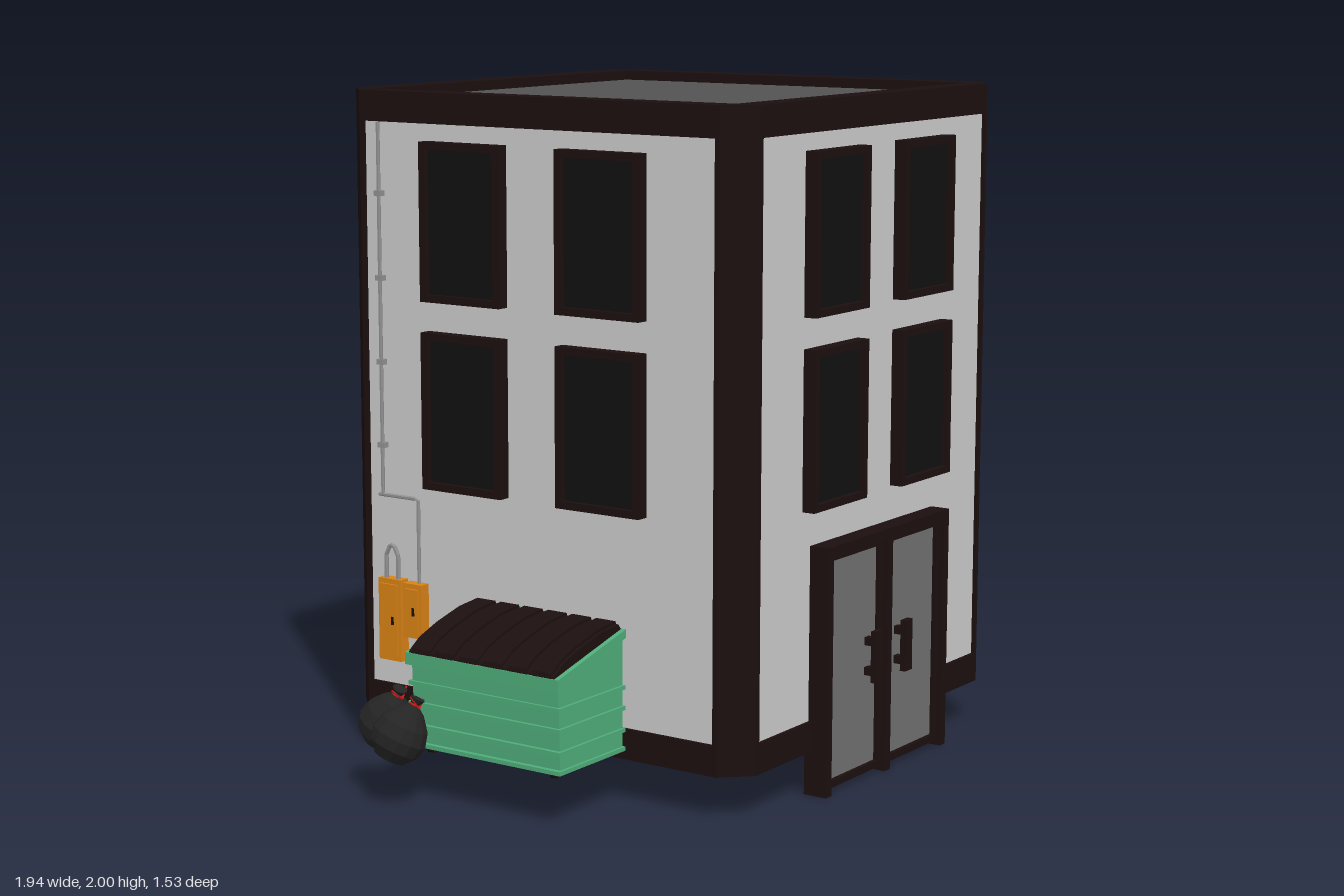
import * as THREE from 'three';

const mat = (color, flat = true) => new THREE.MeshStandardMaterial({ color, flatShading: flat });
const DARK = mat(0x1c0f0f), WALL = mat(0xcccccc), GLASS = mat(0x101010), ROOF = mat(0x525252);
const PANEL = mat(0x707070), GREEN = mat(0x4fad7a), ORANGE = mat(0xd98214), STEEL = mat(0x909090);
const BAG = mat(0x242424), RED = mat(0xc01818);

function add(parent, name, geo, material) {
  const m = new THREE.Mesh(geo, material);
  m.name = name;
  parent.add(m);
  return m;
}

// Box given by its minimum and maximum corners
function box(parent, name, material, [x0, y0, z0], [x1, y1, z1]) {
  const g = new THREE.BoxGeometry(x1 - x0, y1 - y0, z1 - z0);
  g.translate((x0 + x1) / 2, (y0 + y1) / 2, (z0 + z1) / 2);
  return add(parent, name, g, material);
}

const shapeOf = pts => new THREE.Shape(pts.map(p => new THREE.Vector2(...p)));

// Plan outline (x, z) raised from y0 to y1
function plan(shape, y0, y1) {
  const g = new THREE.ExtrudeGeometry(shape, { depth: y1 - y0, bevelEnabled: false });
  return g.rotateX(Math.PI / 2).translate(0, y1, 0);
}

// Side outline (x, y) run from z0 to z1
function side(pts, z0, z1) {
  return new THREE.ExtrudeGeometry(shapeOf(pts), { depth: z1 - z0, bevelEnabled: false }).translate(0, 0, z0);
}

// Rectangular frame in the xy plane, rail width w
function frame(x0, x1, y0, y1, w, z0, z1) {
  const s = shapeOf([[x0, y0], [x1, y0], [x1, y1], [x0, y1]]);
  s.holes.push(shapeOf([[x0 + w, y0 + w], [x0 + w, y1 - w], [x1 - w, y1 - w], [x1 - w, y0 + w]]));
  return new THREE.ExtrudeGeometry(s, { depth: z1 - z0, bevelEnabled: false }).translate(0, 0, z0);
}

function octagon(h, c) {
  const k = h - c;
  return [[-k, -h], [k, -h], [h, -k], [h, k], [k, h], [-k, h], [-h, k], [-h, -k]];
}

function building() {
  const g = new THREE.Group();
  g.name = 'building';
  g.position.set(0.225, 0, -0.022);
  const H = 0.715, C = 0.08, P = H - 0.095;
  add(g, 'walls', plan(shapeOf(octagon(H - 0.01, C)), 0.2, 1.94), WALL);
  add(g, 'baseBand', plan(shapeOf(octagon(H, C)), 0.13, 0.22), DARK);
  const ring = shapeOf(octagon(H, C)), r = H - 0.08;
  ring.holes.push(shapeOf([[-r, -r], [-r, r], [r, r], [r, -r]]));
  add(g, 'parapet', plan(ring, 1.91, 2), DARK);
  box(g, 'roof', ROOF, [-r, 1.93, -r], [r, 1.97, r]);

  // One corner post and four windows per side
  for (let k = 0; k < 4; k++) {
    const wall = new THREE.Group();
    wall.name = 'facade';
    wall.rotation.y = k * Math.PI / 2;
    g.add(wall);
    const post = [[P, P], [H, P], [H, H - C], [H - C, H], [P, H]];
    add(wall, 'cornerPost', plan(shapeOf(post), 0.2, 1.93), DARK);
    for (const x of [-0.244, 0.244]) for (const y of [0.84, 1.395]) {
      add(wall, 'windowFrame', frame(x - 0.145, x + 0.145, y, y + 0.465, 0.022, 0.69, 0.745), DARK);
      box(wall, 'windowGlass', GLASS, [x - 0.13, y + 0.015, 0.69], [x + 0.13, y + 0.45, 0.728]);
    }
  }
  return g;
}

function doors() {
  const g = new THREE.Group();
  g.name = 'doubleDoor';
  g.position.x = 0.227;
  box(g, 'doorHead', DARK, [-0.347, 0.705, 0.67], [0.347, 0.735, 0.745]);
  box(g, 'centrePost', DARK, [-0.015, 0, 0.67], [0.015, 0.71, 0.745]);
  for (const s of [-1, 1]) {
    const a = Math.min(s * 0.015, s * 0.32), b = Math.max(s * 0.015, s * 0.32);
    box(g, 'doorJamb', DARK, [s * 0.332 - 0.015, 0, 0.67], [s * 0.332 + 0.015, 0.71, 0.745]);
    add(g, 'doorLeafFrame', frame(a, b, 0.015, 0.71, 0.022, 0.685, 0.73), DARK);
    box(g, 'doorPanel', PANEL, [a + 0.015, 0.03, 0.695], [b - 0.015, 0.7, 0.718]);
    const x = s * 0.085;
    box(g, 'doorHandle', DARK, [x - 0.02, 0.29, 0.745], [x + 0.02, 0.445, 0.763]);
    for (const y of [0.32, 0.41]) box(g, 'handleMount', DARK, [x - 0.012, y - 0.012, 0.71], [x + 0.012, y + 0.012, 0.75]);
  }
  return g;
}

function dumpster() {
  const g = new THREE.Group();
  g.name = 'dumpster';
  add(g, 'bin', side([[-0.795, 0.165], [-0.5, 0.165], [-0.5, 0.5], [-0.805, 0.415]], -0.222, 0.298), GREEN);
  add(g, 'rim', side([[-0.82, 0.4], [-0.5, 0.49], [-0.5, 0.515], [-0.82, 0.435]], -0.235, 0.31), GREEN);
  for (const y of [0.165, 0.22, 0.285, 0.345])
    box(g, 'binRib', GREEN, [-0.81, y - 0.006, -0.232], [-0.498, y + 0.006, 0.307]);
  box(g, 'hingeBar', GREEN, [-0.51, 0.49, -0.12], [-0.488, 0.525, 0.07]);

  // Domed lid with raised slats
  const lid = t => [[-0.82, 0.43], [-0.5, 0.51], [-0.515, 0.53 + t], [-0.6, 0.522 + t], [-0.7, 0.497 + t], [-0.77, 0.472 + t], [-0.815, 0.442 + t]];
  add(g, 'lid', side(lid(0), -0.222, 0.295), DARK);
  for (let i = 0; i < 6; i++) {
    const z = -0.212 + i * 0.086;
    add(g, 'lidSlat', side(lid(0.008), z, z + 0.066), DARK);
  }
  for (const x of [-0.77, -0.54]) for (const z of [-0.18, 0.26]) {
    const c = add(g, 'caster', new THREE.CylinderGeometry(0.014, 0.014, 0.016, 10), DARK);
    c.rotation.x = Math.PI / 2;
    c.position.set(x, 0.15, z);
  }
  return g;
}

// Lumpy sack leaning along (dx, dz), knotted with a tie
function trashBag(x, z, dx, dz) {
  const g = new THREE.Group();
  g.name = 'trashBag';
  g.position.set(x, 0.21, z);
  g.quaternion.setFromUnitVectors(new THREE.Vector3(0, 1, 0), new THREE.Vector3(dx, 0.1, dz).normalize());
  const profile = [[0, -0.078], [0.045, -0.07], [0.075, -0.035], [0.082, 0], [0.07, 0.04], [0.04, 0.078], [0.012, 0.1], [0.022, 0.12], [0, 0.114]];
  add(g, 'sack', new THREE.LatheGeometry(profile.map(p => new THREE.Vector2(...p)), 14), BAG);
  const tie = add(g, 'tie', new THREE.TorusGeometry(0.013, 0.004, 5, 10), RED);
  tie.rotation.x = Math.PI / 2;
  tie.position.y = 0.1;
  for (const s of [-1, 1]) {
    const end = add(g, 'tieEnd', new THREE.BoxGeometry(0.045, 0.004, 0.006), RED);
    end.position.set(s * 0.016, 0.108, 0.008);
    end.rotation.set(0, s * 0.6, s * 0.5);
  }
  return g;
}

function utilities() {
  const g = new THREE.Group();
  g.name = 'wallUtilities';
  const pipe = (name, pts, r) => {
    const path = new THREE.CurvePath();
    const v = pts.map(p => new THREE.Vector3(...p));
    for (let i = 1; i < v.length; i++) path.add(new THREE.LineCurve3(v[i - 1], v[i]));
    add(g, name, new THREE.TubeGeometry(path, 24, r, 6), STEEL);
  };
  // Cabinets with raised doors and small latches
  for (const [z0, z1, y0, y1] of [[-0.59, -0.505, 0.3, 0.55], [-0.495, -0.425, 0.38, 0.545]]) {
    box(g, 'utilityBox', ORANGE, [-0.515, y0, z0], [-0.475, y1, z1]);
    box(g, 'utilityBoxDoor', ORANGE, [-0.522, y0 + 0.015, z0 + 0.01], [-0.51, y1 - 0.015, z1 - 0.01]);
    box(g, 'latch', DARK, [-0.526, (y0 + y1) / 2 - 0.012, z1 - 0.03], [-0.52, (y0 + y1) / 2 + 0.012, z1 - 0.022]);
  }
  // Conduits running up the wall and between the boxes
  pipe('riserPipe', [[-0.493, 0.8, -0.585], [-0.493, 1.91, -0.585]], 0.006);
  pipe('crossPipe', [[-0.493, 0.8, -0.6], [-0.493, 0.8, -0.45], [-0.493, 0.54, -0.45]], 0.006);
  pipe('boxLoop', [[-0.5, 0.54, -0.57], [-0.5, 0.62, -0.57], [-0.5, 0.65, -0.555], [-0.5, 0.65, -0.54], [-0.5, 0.62, -0.525], [-0.5, 0.54, -0.525]], 0.007);
  for (const y of [0.95, 1.2, 1.45, 1.7]) box(g, 'pipeClip', STEEL, [-0.501, y - 0.008, -0.597], [-0.478, y + 0.008, -0.573]);
  return g;
}

export function createModel() {
  const model = new THREE.Group();
  model.name = 'cityBuilding';
  model.add(building(), doors(), dumpster(), utilities());
  model.add(trashBag(-0.8, -0.325, 0, 0.05), trashBag(-0.89, -0.2, 0.035, 0.035));
  return model;
}
